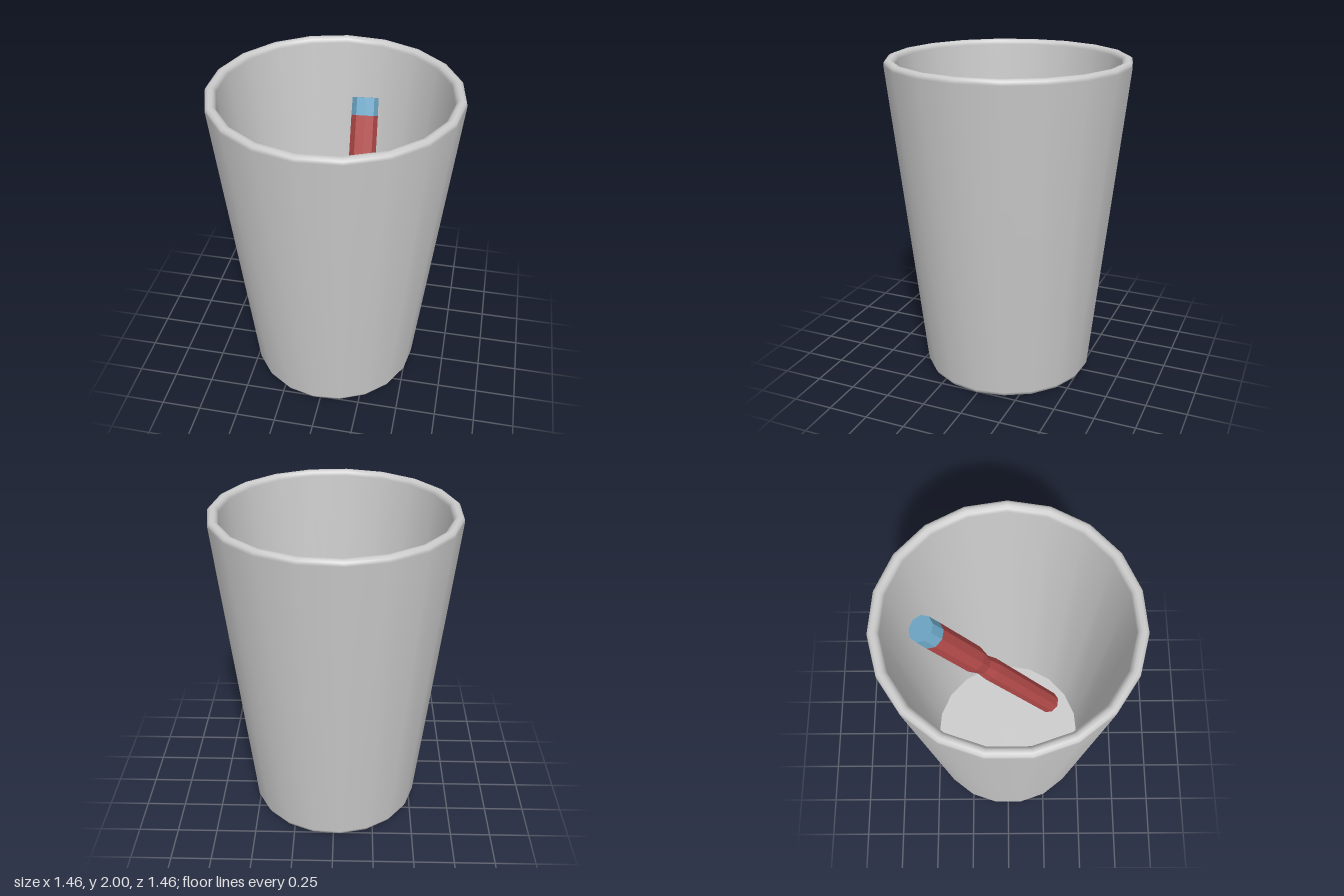
import * as THREE from 'three';

const SIDES = 19;

function lathe(name, profile, sides, color, flat) {
  const points = profile.map(([r, y]) => new THREE.Vector2(r, y));
  const geometry = new THREE.LatheGeometry(points, sides, Math.PI / 2);
  const material = new THREE.MeshStandardMaterial({ color, flatShading: flat, side: THREE.DoubleSide });
  const mesh = new THREE.Mesh(geometry, material);
  mesh.name = name;
  return mesh;
}

export function createModel() {
  const model = new THREE.Group();
  model.name = 'cupWithPen';

  // Tapered cup: underside, outer wall, rounded rim and inner wall
  model.add(lathe('cupWall', [
    [0.495, 0], [0.52, 0.01], [0.533, 0.035],
    [0.735, 1.97], [0.731, 1.99], [0.715, 2],
    [0.695, 2], [0.68, 1.99], [0.67, 1.97],
    [0.505, 0.08],
  ], SIDES, 0xcccccc, false));

  // Flat discs closing the underside and the inside floor
  for (const [name, radius, y, turn] of [
    ['cupUnderside', 0.495, 0, Math.PI / 2],
    ['cupFloor', 0.505, 0.08, -Math.PI / 2],
  ]) {
    const disc = new THREE.Mesh(
      new THREE.CircleGeometry(radius, SIDES),
      new THREE.MeshStandardMaterial({ color: 0xcccccc })
    );
    disc.name = name;
    disc.rotation.x = turn;
    disc.position.y = y;
    model.add(disc);
  }

  // Pen leaning inside the cup, built upward from its tip
  const tip = new THREE.Vector3(0.17, 0.1, 0.365);
  const end = new THREE.Vector3(0.095, 1.7, -0.485);
  const axis = end.clone().sub(tip);
  const length = axis.length();
  const pen = new THREE.Group();
  pen.name = 'pen';
  pen.position.copy(tip);
  pen.quaternion.setFromUnitVectors(new THREE.Vector3(0, 1, 0), axis.normalize());

  // Each profile is given by distance down from the pen's upper end
  const part = (name, profile, color) =>
    pen.add(lathe(name, profile.map(([r, d]) => [r, length - d]), 9, color, true));
  part('penEndCap', [[0.084, 0.11], [0.082, 0], [0, 0]], 0x6fa9c9);
  part('penBody', [
    [0.03, 1.72], [0.076, 1.67], [0.076, 0.79], [0.064, 0.69], [0.086, 0.57], [0.084, 0.11],
  ], 0xb04848);
  part('penTip', [[0, length], [0.03, 1.72]], 0x888078);
  model.add(pen);

  return model;
}
